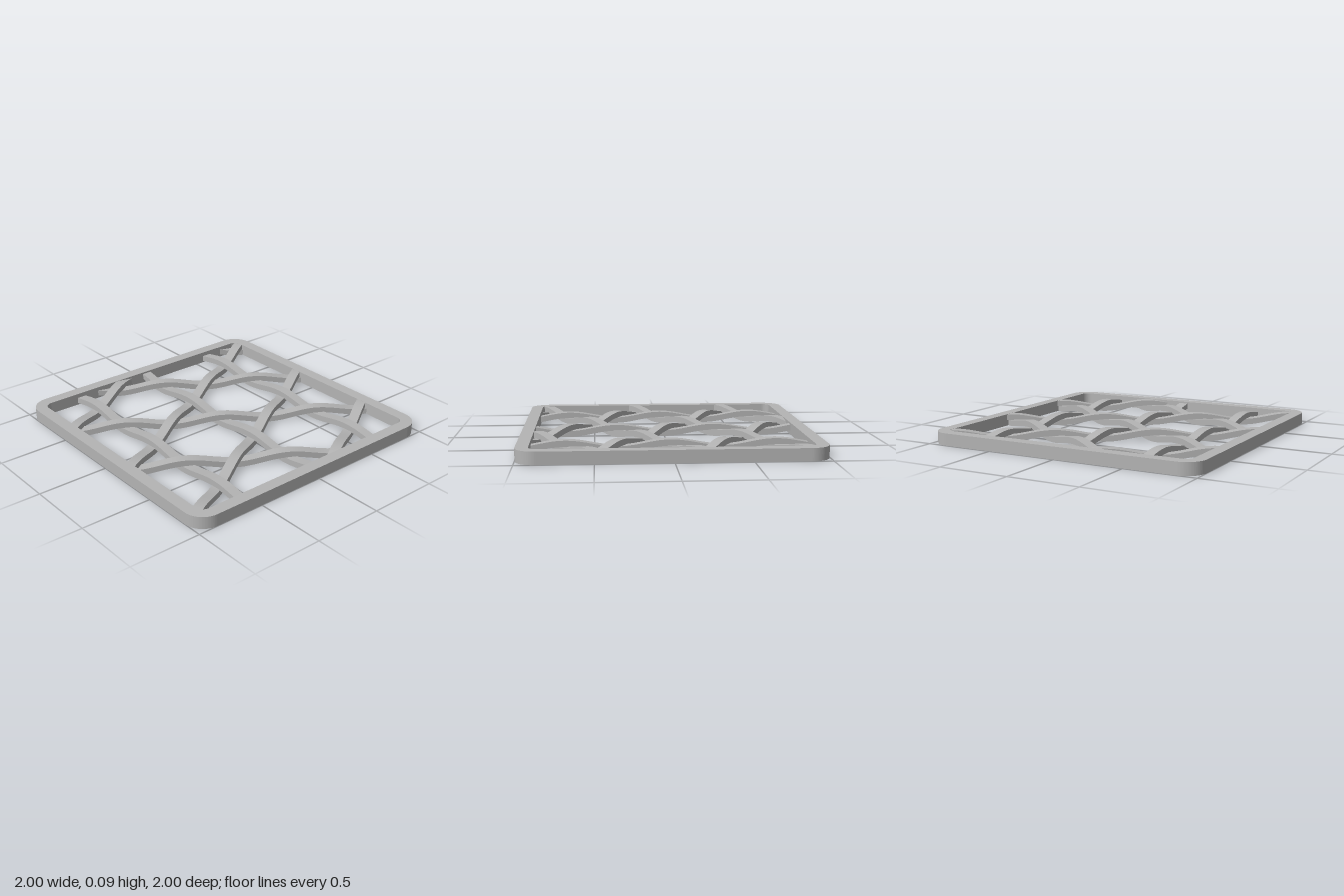
import * as THREE from 'three';

const HEIGHT = 0.085, INNER = 0.915, EMBED = 0.95;
const STRIP_W = 0.07, STRIP_T = 0.042, WAVE = 0.021;
const PERIOD = 1.2 / Math.sqrt(3); // distance between two crossings of the same kind

// Rounded square outline centred on the origin
function roundedSquare(target, h, r) {
  target.moveTo(h, -h + r);
  target.absarc(h - r, h - r, r, 0, Math.PI / 2);
  target.absarc(-h + r, h - r, r, Math.PI / 2, Math.PI);
  target.absarc(-h + r, -h + r, r, Math.PI, Math.PI * 1.5);
  target.absarc(h - r, -h + r, r, Math.PI * 1.5, Math.PI * 2);
  target.closePath();
  return target;
}

// Flat strip through (x0, z0) at an angle, clipped to the frame and waved over and under
function makeStrip(x0, z0, angle, sign) {
  const dx = Math.cos(angle), dz = -Math.sin(angle);
  let s0 = -10, s1 = 10;
  for (const [p, d] of [[x0, dx], [z0, dz]]) {
    if (Math.abs(d) < 1e-6) continue;
    const a = (-EMBED - p) / d, b = (EMBED - p) / d;
    s0 = Math.max(s0, Math.min(a, b));
    s1 = Math.min(s1, Math.max(a, b));
  }
  const length = s1 - s0;
  const geo = new THREE.BoxGeometry(length, STRIP_T, STRIP_W, Math.max(6, Math.ceil(length * 40)), 1, 1);
  geo.translate((s0 + s1) / 2, HEIGHT / 2, 0);
  const pos = geo.attributes.position;
  for (let i = 0; i < pos.count; i++) {
    const lift = sign * WAVE * Math.cos((2 * Math.PI * pos.getX(i)) / PERIOD);
    pos.setY(i, pos.getY(i) + lift);
  }
  geo.computeVertexNormals();
  geo.rotateY(angle);
  geo.translate(x0, 0, z0);
  return geo;
}

export function createModel() {
  const model = new THREE.Group();
  model.name = 'wovenPanel';
  const grey = new THREE.MeshStandardMaterial({ color: 0xb4b4b4 });
  grey.name = 'grey';

  const add = (geo, name) => {
    const mesh = new THREE.Mesh(geo, grey);
    mesh.name = name;
    model.add(mesh);
  };

  // Frame with rounded corners
  const outline = roundedSquare(new THREE.Shape(), 1, 0.14);
  outline.holes.push(roundedSquare(new THREE.Path(), INNER, 0.055));
  const frame = new THREE.ExtrudeGeometry(outline, { depth: HEIGHT, bevelEnabled: false, curveSegments: 12 });
  frame.rotateX(-Math.PI / 2);
  add(frame, 'frame');

  // Straight strips, under the rising diagonals and over the falling ones
  for (const row of [-1, 0, 1]) {
    add(makeStrip((-row * PERIOD) / 2, row * 0.6, 0, -1), 'crossStrip');
  }

  // Rising diagonals, over the straight strips
  for (const k of [-2, -1, 0, 1, 2]) {
    add(makeStrip(k * PERIOD, 0, Math.PI / 3, 1), 'risingStrip');
  }

  // Falling diagonals, under the straight strips
  for (const k of [-1.5, -0.5, 0.5, 1.5]) {
    add(makeStrip(k * PERIOD, 0, -Math.PI / 3, -1), 'fallingStrip');
  }

  return model;
}
